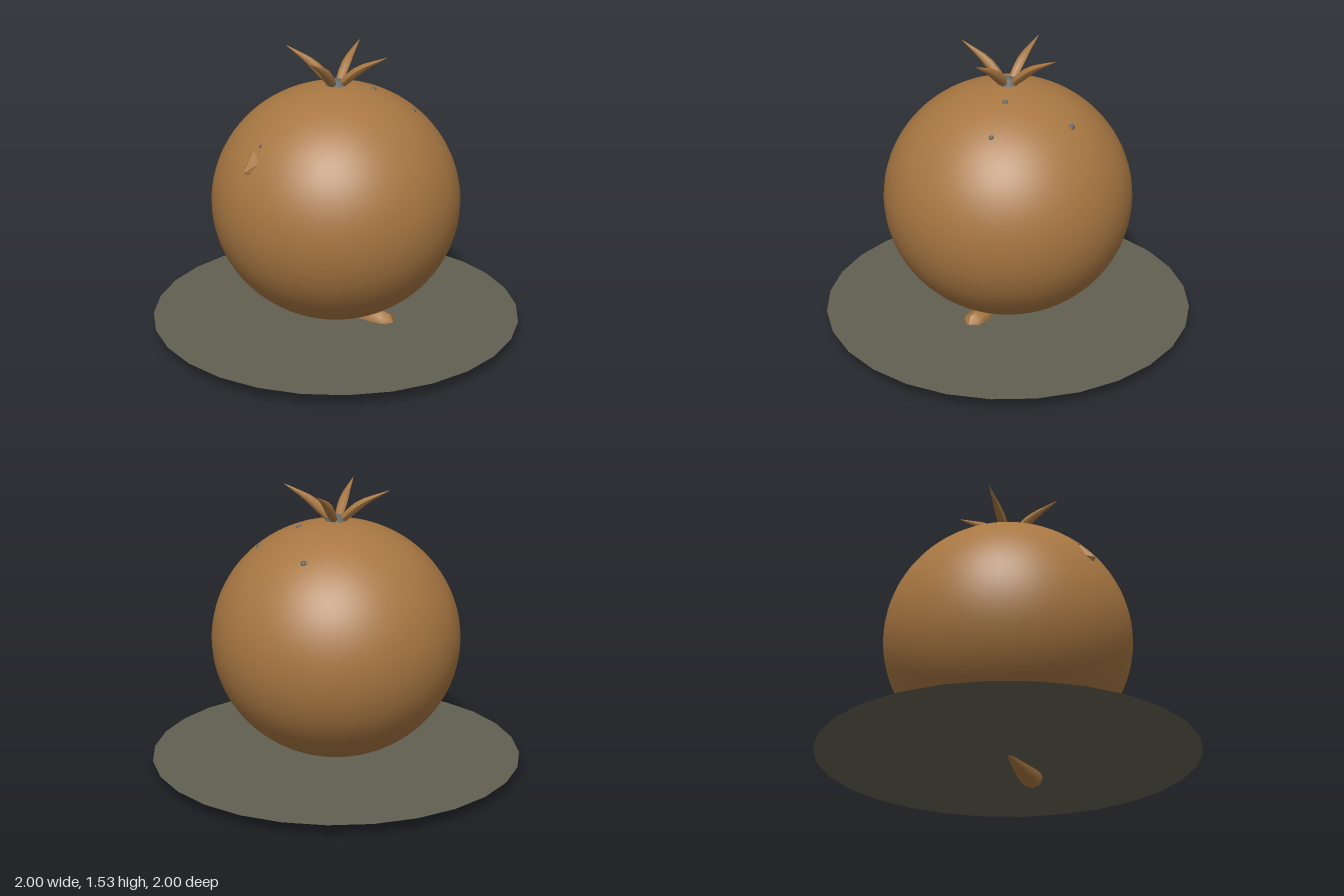
import * as THREE from 'three';

const brown = new THREE.MeshStandardMaterial({ color: 0xa87742 });
brown.name = 'earthyBrown';
const grey = new THREE.MeshStandardMaterial({ color: 0x5f6665 });
grey.name = 'stoneGrey';
const olive = new THREE.MeshStandardMaterial({ color: 0x626052, side: THREE.DoubleSide });
olive.name = 'darkOlive';

const CENTRE_Y = 0.715, RX = 0.665, RY = 0.64;

// Tube along the given points whose thickness follows a list of radii
function taperedTube(points, radii, sides) {
  const curve = new THREE.CatmullRomCurve3(points.map(p => new THREE.Vector3(...p)));
  const n = radii.length - 1;
  const geo = new THREE.TubeGeometry(curve, n, 1, sides);
  const pos = geo.attributes.position, v = new THREE.Vector3();
  for (let i = 0; i <= n; i++) {
    const c = curve.getPointAt(i / n);
    for (let j = 0; j <= sides; j++) {
      const k = i * (sides + 1) + j;
      v.fromBufferAttribute(pos, k).sub(c).multiplyScalar(radii[i]).add(c);
      pos.setXYZ(k, v.x, v.y, v.z);
    }
  }
  geo.computeVertexNormals();
  return geo;
}

export function createModel() {
  const model = new THREE.Group();
  const add = (name, geo, mat, x = 0, y = 0, z = 0) => {
    const mesh = new THREE.Mesh(geo, mat);
    mesh.name = name;
    mesh.position.set(x, y, z);
    model.add(mesh);
    return mesh;
  };

  // Flat ground disc
  add('disc', new THREE.CircleGeometry(1, 28).rotateX(-Math.PI / 2), olive, 0, 0.07, 0);

  // Slightly squashed round body
  add('body', new THREE.SphereGeometry(1, 64, 48).scale(RX, RY, RX), brown, 0, CENTRE_Y, 0);

  // Five-sided nose with its tip a little above centre
  const nose = new THREE.ConeGeometry(0.073, 0.085, 5, 1).rotateX(Math.PI / 2);
  nose.rotateZ(Math.PI / 2);
  const np = nose.attributes.position;
  let lowest = Infinity;
  for (let i = 0; i < np.count; i++) {
    if (np.getZ(i) > 0) np.setY(i, np.getY(i) + 0.02);
    lowest = Math.min(lowest, np.getX(i));
  }
  // Turn so that one corner points to the right-hand side
  if (lowest > -0.07) nose.rotateZ(Math.PI);
  const noseFlat = nose.toNonIndexed();
  noseFlat.computeVertexNormals();
  if (lowest > -0.07) noseFlat.translate(0, 0.04, 0);
  add('nose', noseFlat, brown, 0, 0.99, 0.58);

  // Crown: a small knob with four curved spikes
  add('crownKnob', new THREE.IcosahedronGeometry(0.065, 1), grey, 0, 1.325, 0);
  const spike = taperedTube(
    [[0.01, 1.335, 0], [0.06, 1.385, 0], [0.14, 1.452, 0], [0.29, 1.53, 0]],
    [0.012, 0.022, 0.026, 0.026, 0.021, 0.014, 0.008, 0.001], 6);
  for (let i = 0; i < 4; i++) {
    add('crownSpike', spike, brown).rotation.y = 0.39 + i * Math.PI / 2;
  }

  // Club-shaped foot lying under the body
  add('foot', taperedTube(
    [[-0.02, 0.069, 0.025], [0.12, 0.067, -0.035], [0.25, 0.062, -0.085], [0.345, 0.05, -0.12]],
    [0, 0.018, 0.025, 0.033, 0.04, 0.047, 0.053, 0.058, 0.059, 0.055, 0], 8), brown);

  // Small specks on the skin, given by x, z and size
  const specks = [[-0.125, -0.39, 0.018], [0.29, -0.285, 0.014], [0.12, -0.155, 0.017], [0, 0.506, 0.01]];
  for (const [x, z, r] of specks) {
    const y = CENTRE_Y + RY * Math.sqrt(1 - (x * x + z * z) / (RX * RX));
    add('speck', new THREE.IcosahedronGeometry(r, 1), grey, x, y - r * 0.4, z);
  }

  return model;
}
